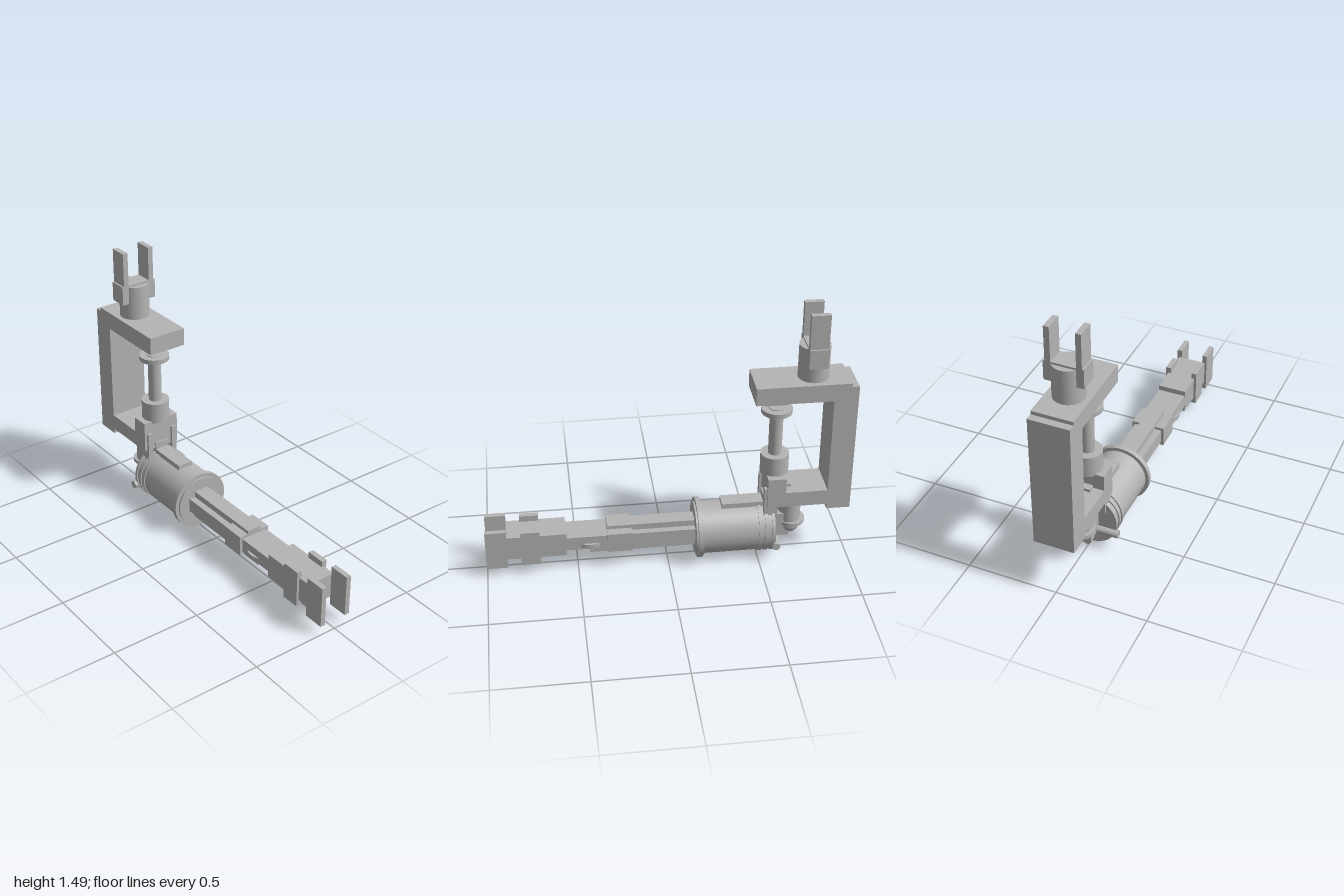
import * as THREE from 'three';

export function createModel() {
  const root = new THREE.Group();
  const grey = new THREE.MeshStandardMaterial({ color: 0xb4b4b4 });
  grey.name = 'plainGrey';

  const add = (name, geometry) => {
    const mesh = new THREE.Mesh(geometry, grey);
    mesh.name = name;
    root.add(mesh);
    return mesh;
  };
  // Box from min/max x and y, and z range
  const box = (name, x0, x1, y0, y1, z0, z1) =>
    add(name, new THREE.BoxGeometry(x1 - x0, y1 - y0, z1 - z0))
      .position.set((x0 + x1) / 2, (y0 + y1) / 2, (z0 + z1) / 2);
  const slab = (name, x0, x1, y0, y1, hz) => box(name, x0, x1, y0, y1, -hz, hz);
  // Matching plates on both sides
  const plates = (name, x0, x1, y0, y1, z0, z1) => {
    box(name + 'Left', x0, x1, y0, y1, z0, z1);
    box(name + 'Right', x0, x1, y0, y1, -z1, -z0);
  };
  // Upright cylinder, and cylinder along x
  const post = (name, x, y0, y1, r) =>
    add(name, new THREE.CylinderGeometry(r, r, y1 - y0, 40)).position.set(x, (y0 + y1) / 2, 0);
  const drum = (name, x0, x1, r, y = 0.168) => {
    const m = add(name, new THREE.CylinderGeometry(r, r, x1 - x0, 48));
    m.rotation.z = Math.PI / 2;
    m.position.set((x0 + x1) / 2, y, 0);
  };

  // C-shaped clamp frame
  const outline = [[-1, 0.31], [-0.87, 0.31], [-0.87, 0.34], [-0.54, 0.34], [-0.54, 0.52],
    [-0.64, 0.52], [-0.64, 0.43], [-0.87, 0.43], [-0.87, 0.99], [-0.455, 0.99],
    [-0.455, 1.09], [-0.96, 1.09], [-0.96, 1.07], [-1, 1.07]];
  const shape = new THREE.Shape(outline.map(([x, y]) => new THREE.Vector2(x, y)));
  const frame = new THREE.ExtrudeGeometry(shape, { depth: 0.222, bevelEnabled: false });
  frame.translate(0, 0, -0.111);
  add('clampFrame', frame);
  slab('framePad', -0.68, -0.63, 0.42, 0.446, 0.05);
  slab('upperJawPad', -0.63, -0.51, 0.97, 0.995, 0.085);

  // Clamp screw
  post('screwCollar', -0.59, 0.51, 0.63, 0.078);
  post('screwRod', -0.59, 0.62, 0.89, 0.037);
  post('screwDisc', -0.59, 0.885, 0.912, 0.084);
  post('screwDiscCap', -0.59, 0.91, 0.916, 0.045);

  // Upper socket and its prongs
  post('upperSocket', -0.775, 1.08, 1.282, 0.083);
  slab('upperClip', -0.826, -0.725, 1.185, 1.293, 0.106);
  plates('upperProng', -0.826, -0.725, 1.25, 1.485, 0.066, 0.096);

  // Swivel below the frame
  post('swivelPost', -0.687, 0.17, 0.345, 0.063);
  const ball = add('swivelBase', new THREE.SphereGeometry(0.063, 32, 16));
  ball.position.set(-0.687, 0.168, 0);
  post('swivelDisc', -0.698, 0.175, 0.196, 0.077);
  slab('swivelLink', -0.68, -0.57, 0.105, 0.25, 0.05);

  // Hinge between frame and barrel
  plates('hingePlate', -0.6, -0.525, 0.24, 0.45, 0.066, 0.096);
  slab('hingeBlock', -0.6, -0.53, 0.24, 0.377, 0.042);

  // Barrel with ribs and flange
  drum('barrel', -0.58, -0.165, 0.148);
  for (const x of [-0.578, -0.54, -0.505]) drum('barrelRib', x - 0.009, x + 0.009, 0.155);
  drum('barrelFlange', -0.188, -0.16, 0.168);
  drum('barrelLip', -0.165, -0.15, 0.145);
  slab('barrelTopStrip', -0.53, -0.3, 0.29, 0.338, 0.045);
  const pin = add('crossPin', new THREE.CylinderGeometry(0.022, 0.022, 0.332, 24));
  pin.rotation.x = Math.PI / 2;
  pin.position.set(-0.59, 0.112, 0);
  drum('endKnob', -0.63, -0.57, 0.025, 0.046);

  // Long arm with rails
  slab('armBar', -0.16, 0.57, 0.13, 0.21, 0.08);
  slab('armTopRail', -0.16, 0.335, 0.2, 0.245, 0.043);
  slab('armLowerRail', -0.16, 0.43, 0.082, 0.14, 0.046);
  slab('armSleeve', 0.2, 0.335, 0.11, 0.225, 0.095);
  post('armPivotDisc', 0.43, 0.143, 0.166, 0.095);

  // Arm head with side plates and end prongs
  slab('armHead', 0.56, 0.885, 0.1, 0.24, 0.082);
  plates('headPlate', 0.705, 0.81, 0.065, 0.275, 0.066, 0.096);
  plates('endProng', 0.885, 1, 0.053, 0.287, 0.066, 0.094);

  return root;
}
